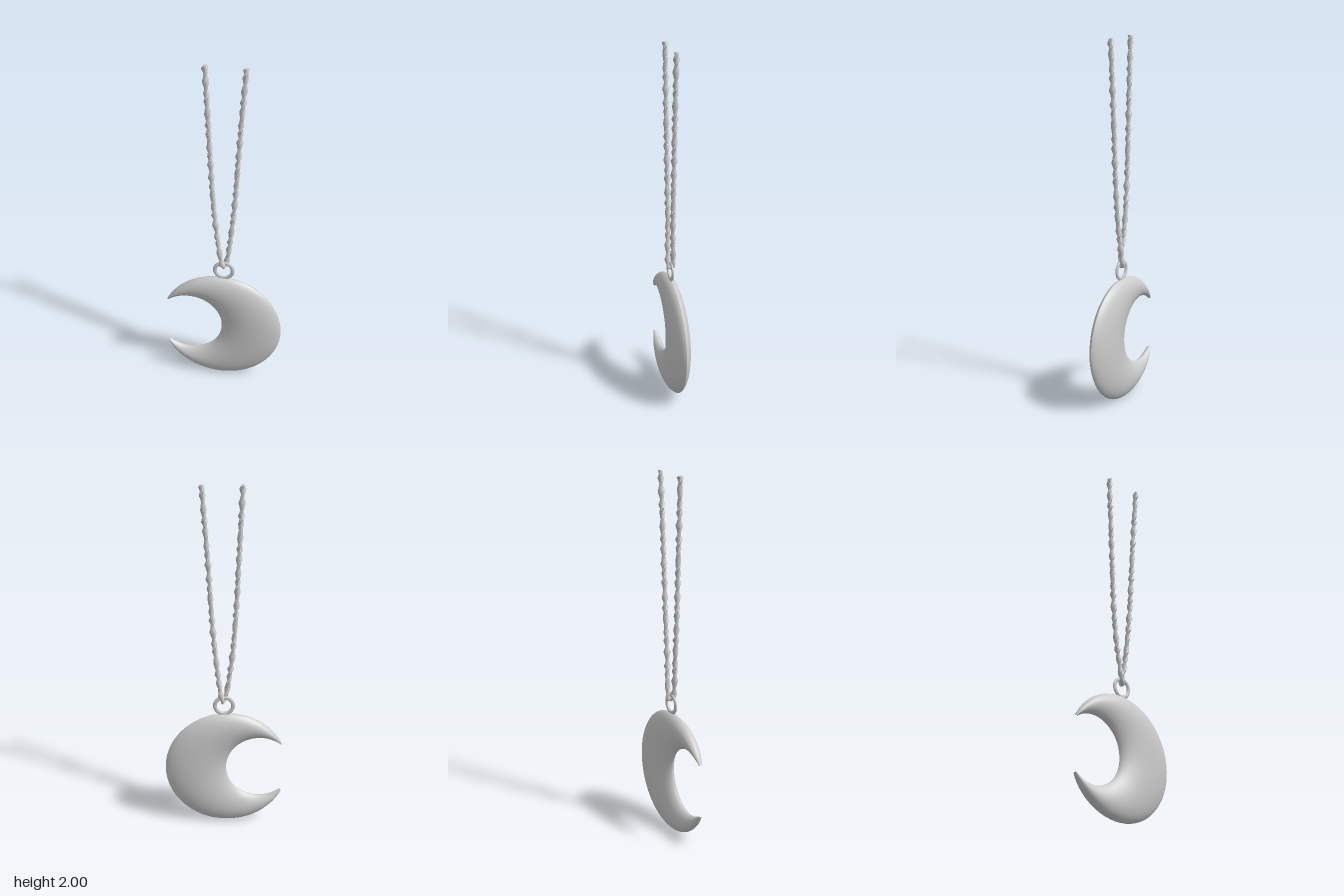
import * as THREE from 'three';

const grey = (opts = {}) => new THREE.MeshStandardMaterial({ color: 0xcccccc, ...opts });

function named(name, geometry, material) {
  const mesh = new THREE.Mesh(geometry, material);
  mesh.name = name;
  return mesh;
}

function buildGeometry(positions, index) {
  const g = new THREE.BufferGeometry();
  g.setAttribute('position', new THREE.Float32BufferAttribute(positions, 3));
  g.setIndex(index);
  g.computeVertexNormals();
  return g;
}

// One domed half of the crescent, spanned between an outer and an inner arc.
// side = 1 bulges to the front, -1 to the back; the halves meet in a sharp rim.
function crescentHalf(side) {
  const along = 56, across = 14;
  const outer = { x: -0.02, y: 0.345, r: 0.344, a: 2.688 };
  const inner = { x: -0.203, y: 0.347, r: 0.187, a: 2.243 };
  const at = (c, k) => new THREE.Vector2(c.x + c.r * Math.cos(c.a * k), c.y + c.r * Math.sin(c.a * k));
  const pos = [], idx = [];
  for (let i = 0; i <= along; i++) {
    const k = 1 - (2 * i) / along;
    const p = at(outer, k), q = at(inner, k);
    const height = 0.056 * Math.sqrt(p.distanceTo(q) / 0.34);
    for (let j = 0; j <= across; j++) {
      const s = -Math.cos((Math.PI * j) / across);
      const m = p.clone().lerp(q, (s + 1) / 2);
      pos.push(m.x, m.y, side * height * Math.pow(Math.max(0, 1 - s * s), 0.62));
    }
  }
  for (let i = 0; i < along; i++) {
    for (let j = 0; j < across; j++) {
      const a = i * (across + 1) + j, b = a + 1, c = a + across + 1, d = c + 1;
      if (side > 0) idx.push(a, b, c, b, d, c);
      else idx.push(a, c, b, b, c, d);
    }
  }
  return buildGeometry(pos, idx);
}

// Sweeps a two-lobed section along a path while twisting it, with closed ends.
function twistedCord(path, turns) {
  const steps = 240, sides = 8;
  const frames = path.computeFrenetFrames(steps, false);
  const pos = [], idx = [];
  for (let i = 0; i <= steps; i++) {
    const c = path.getPointAt(i / steps);
    const twist = (turns * 2 * Math.PI * i) / steps + 0.5 * Math.sin(i * 0.37);
    const swell = 1 + 0.1 * Math.sin(i * 0.83);
    for (let j = 0; j < sides; j++) {
      const a = (2 * Math.PI * j) / sides;
      const r = swell * (0.0125 + 0.0045 * Math.cos(2 * a));
      const v = c.clone()
        .addScaledVector(frames.normals[i], r * Math.cos(a + twist))
        .addScaledVector(frames.binormals[i], r * Math.sin(a + twist));
      pos.push(v.x, Math.min(v.y, 2), v.z);
    }
  }
  for (let i = 0; i < steps; i++) {
    for (let j = 0; j < sides; j++) {
      const n = (j + 1) % sides;
      const a = i * sides + j, b = i * sides + n;
      idx.push(a, b, a + sides, b, b + sides, a + sides);
    }
  }
  const last = steps * sides;
  for (let j = 1; j < sides - 1; j++) {
    idx.push(0, j + 1, j, last, last + j, last + j + 1);
  }
  return buildGeometry(pos, idx);
}

export function createModel() {
  const model = new THREE.Group();
  model.name = 'moonNecklace';

  // Crescent pendant
  const pendant = new THREE.Group();
  pendant.name = 'crescentPendant';
  pendant.add(named('crescentFront', crescentHalf(1), grey()));
  pendant.add(named('crescentBack', crescentHalf(-1), grey()));
  model.add(pendant);

  // Thin hanging ring, flattened front to back
  const ring = named('hangingRing', new THREE.TorusGeometry(0.05, 0.011, 8, 28), grey());
  ring.scale.z = 0.65;
  ring.position.set(-0.004, 0.739, 0);
  model.add(ring);

  // Twisted cord, passing through the ring from front to back
  const path = new THREE.CatmullRomCurve3([
    [-0.1, 2, 0], [-0.082, 1.6, 0], [-0.062, 1.2, 0], [-0.044, 1, 0.002],
    [-0.018, 0.815, 0.01], [-0.006, 0.768, 0.009], [0.002, 0.766, -0.008],
    [0.014, 0.815, -0.01], [0.037, 1, -0.002], [0.056, 1.2, 0],
    [0.081, 1.6, 0], [0.11, 2, 0],
  ].map((p) => new THREE.Vector3(...p)));
  model.add(named('twistedCord', twistedCord(path, 20), grey({ flatShading: true })));

  return model;
}
